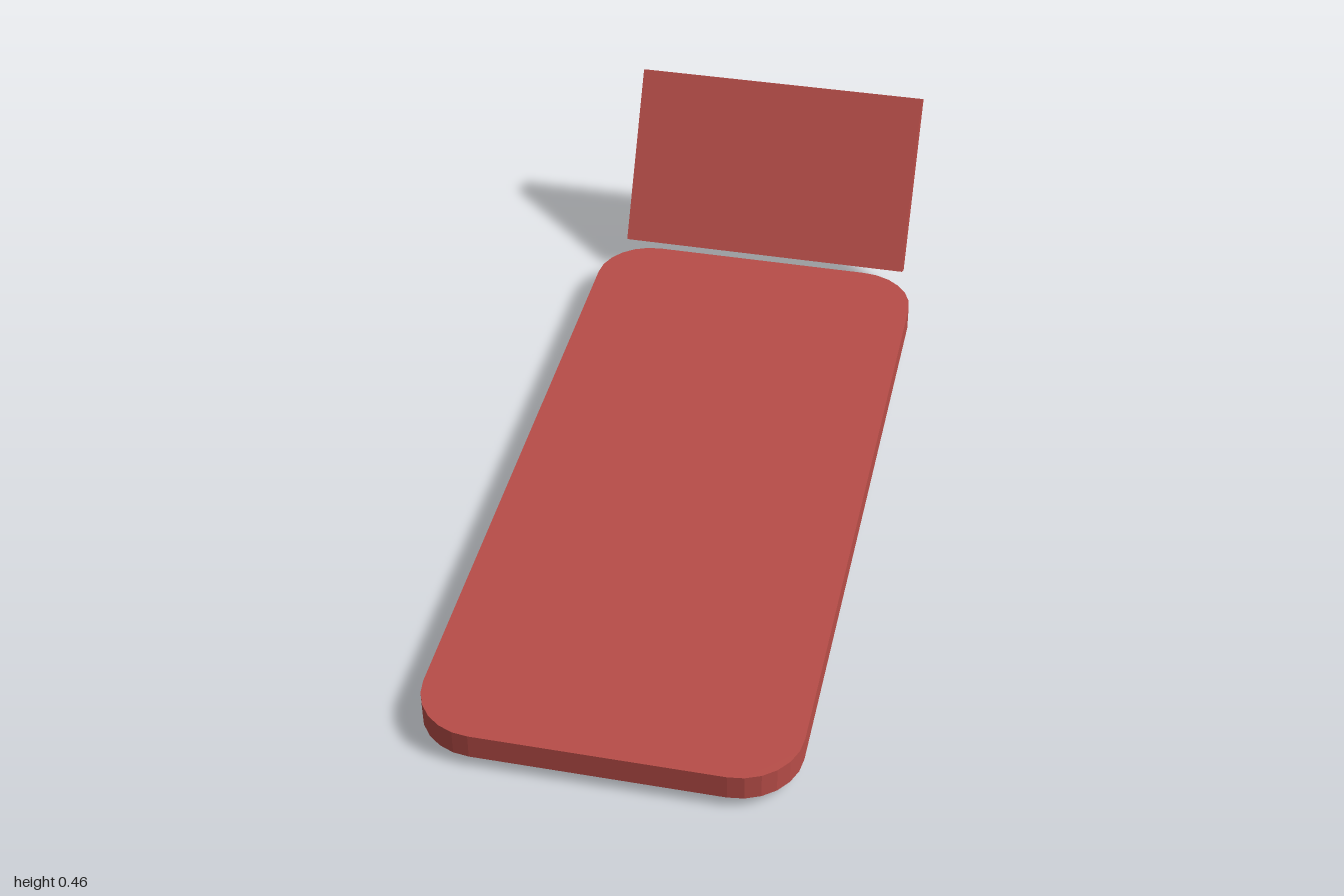
import * as THREE from 'three';

const red = new THREE.MeshStandardMaterial({ color: 0xb84d48 });
red.name = 'red';
const grey = new THREE.MeshStandardMaterial({ color: 0xa6a6a6 });
grey.name = 'grey';

// Flat slab with rounded corners in plan, standing on y = 0
function roundedSlab(width, length, height, radius, segments) {
  const x = width / 2, z = length / 2, r = radius;
  const shape = new THREE.Shape();
  const corners = [[x - r, z - r], [r - x, z - r], [r - x, r - z], [x - r, r - z]];
  corners.forEach(([cx, cz], i) => shape.absarc(cx, cz, r, i * Math.PI / 2, (i + 1) * Math.PI / 2, false));
  const geometry = new THREE.ExtrudeGeometry(shape, { depth: height, bevelEnabled: false, curveSegments: segments });
  return geometry.rotateX(-Math.PI / 2);
}

function add(parent, name, geometry, material, x, y, z) {
  const mesh = new THREE.Mesh(geometry, material);
  mesh.name = name;
  mesh.position.set(x, y, z);
  parent.add(mesh);
  return mesh;
}

export function createModel() {
  const model = new THREE.Group();
  model.name = 'seatWithBackrest';

  // Seat board
  add(model, 'seat', roundedSlab(0.78, 1.725, 0.057, 0.13, 3), red, 0, 0.027, 0.1375);

  // Five runners under the seat
  const rail = roundedSlab(0.024, 1.47, 0.027, 0.007, 2);
  for (let i = -2; i <= 2; i++) add(model, 'runner', rail, red, i * 0.14, 0, 0.135);

  // Hexagonal bolts near the corners, half sunk in the seat
  const bolt = new THREE.CylinderGeometry(0.0225, 0.0225, 0.014, 6).rotateX(Math.PI / 2);
  for (const x of [-0.297, 0.297])
    for (const z of [0.908, -0.615]) add(model, 'bolt', bolt, grey, x, 0.0275, z);

  // Backrest leaning backwards
  const backrest = new THREE.Group();
  backrest.name = 'backrest';
  backrest.position.set(0, 0.262, -0.872);
  backrest.rotation.x = -Math.PI / 6;
  model.add(backrest);
  add(backrest, 'backPanel', new THREE.BoxGeometry(0.704, 0.43, 0.05), red, 0, 0, 0);

  // Small pins showing through the rear of the backrest
  const pin = new THREE.CylinderGeometry(0.005, 0.005, 0.01, 6).rotateX(Math.PI / 2);
  for (const x of [-0.23, 0.23]) add(backrest, 'pin', pin, grey, x, 0.1, -0.022);

  return model;
}
